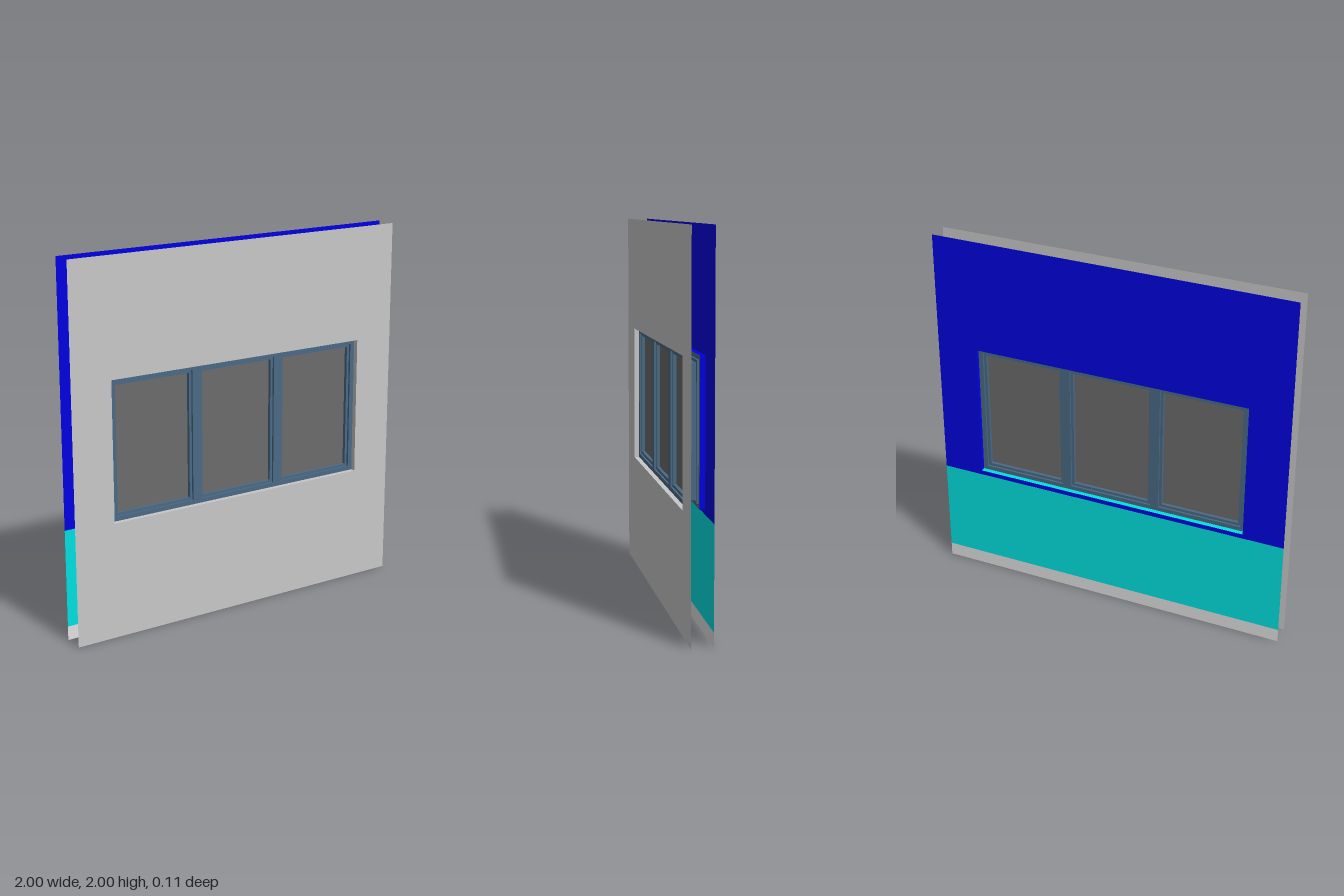
import * as THREE from 'three';

const mat = (name, color) => {
  const m = new THREE.MeshStandardMaterial({ color, side: THREE.DoubleSide });
  m.name = name;
  return m;
};

// rectangles are [x0, y0, x1, y1]
const corners = ([x0, y0, x1, y1]) => [[x0, y0], [x1, y0], [x1, y1], [x0, y1]]
  .map(([x, y]) => new THREE.Vector2(x, y));

export function createModel() {
  const model = new THREE.Group();
  model.name = 'windowWall';

  const outerWall = mat('outer wall grey', 0xc8c8c8);
  const upperBlue = mat('inner wall blue', 0x0000e1);
  const lowerTeal = mat('inner wall teal', 0x00e1e1);
  const skirtGrey = mat('skirting grey', 0xe1e1e1);
  const frameBlue = mat('frame slate blue', 0x4a6a84);
  const glassGrey = mat('glass dark grey', 0x6c6c6c);

  const add = (name, geometry, material) => {
    const mesh = new THREE.Mesh(geometry, material);
    mesh.name = name;
    model.add(mesh);
  };

  // flat sheet with rectangular holes, turned round when it lies at the back
  const sheet = (name, rect, holes, z, material) => {
    const shape = new THREE.Shape(corners(rect));
    for (const h of holes) shape.holes.push(new THREE.Path(corners(h).reverse()));
    const g = new THREE.ShapeGeometry(shape);
    if (z < 0) g.rotateY(Math.PI);
    g.translate(0, 0, z);
    add(name, g, material);
  };

  // four faces lining an opening between two depths, facing inward
  const lining = (name, [x0, y0, x1, y1], za, zb, material, sill = material) => {
    const w = x1 - x0, h = y1 - y0, d = Math.abs(za - zb);
    const cx = (x0 + x1) / 2, cy = (y0 + y1) / 2, cz = (za + zb) / 2;
    const plane = (a, b) => new THREE.PlaneGeometry(a, b);
    add(name + 'Sill', plane(w, d).rotateX(-Math.PI / 2).translate(cx, y0, cz), sill);
    add(name + 'Head', plane(w, d).rotateX(Math.PI / 2).translate(cx, y1, cz), material);
    add(name + 'RightJamb', plane(d, h).rotateY(Math.PI / 2).translate(x0, cy, cz), material);
    add(name + 'LeftJamb', plane(d, h).rotateY(-Math.PI / 2).translate(x1, cy, cz), material);
  };

  const WALL = 0.056, FRAME = 0.029, STEP = 0.018;
  const opening = [-0.773, 0.625, 0.773, 1.376];

  // wall skins: plain outside, three colour bands inside
  sheet('outerWall', [-1, 0, 1, 2], [opening], WALL, outerWall);
  sheet('innerWallUpper', [-1, 0.6, 1, 2], [opening], -WALL, upperBlue);
  sheet('innerWallLower', [-1, 0.075, 1, 0.6], [], -WALL, lowerTeal);
  sheet('skirting', [-1, 0, 1, 0.075], [], -WALL, skirtGrey);
  lining('outerReveal', opening, WALL, FRAME, outerWall);
  lining('innerReveal', opening, -WALL, -FRAME, upperBlue, lowerTeal);

  // three panes, symmetric about the middle
  const panes = [[-0.747, -0.282], [-0.232, 0.232], [0.282, 0.747]]
    .map(([a, b]) => [a, 0.648, b, 1.352]);
  const inset = ([x0, y0, x1, y1]) => [x0 + 0.015, y0 + 0.015, x1 - 0.015, y1 - 0.015];

  // stepped frame on both faces
  for (const s of [1, -1]) {
    const side = s > 0 ? 'outer' : 'inner';
    sheet(side + 'Frame', opening, panes, s * FRAME, frameBlue);
    for (const p of panes) {
      const q = inset(p);
      sheet(side + 'Rebate', p, [q], s * STEP, frameBlue);
      lining(side + 'FrameEdge', p, s * FRAME, s * STEP, frameBlue);
      lining(side + 'RebateEdge', q, s * STEP, 0, frameBlue);
    }
  }

  // glass
  for (const p of panes) sheet('glass', inset(p), [], 0, glassGrey);

  return model;
}
